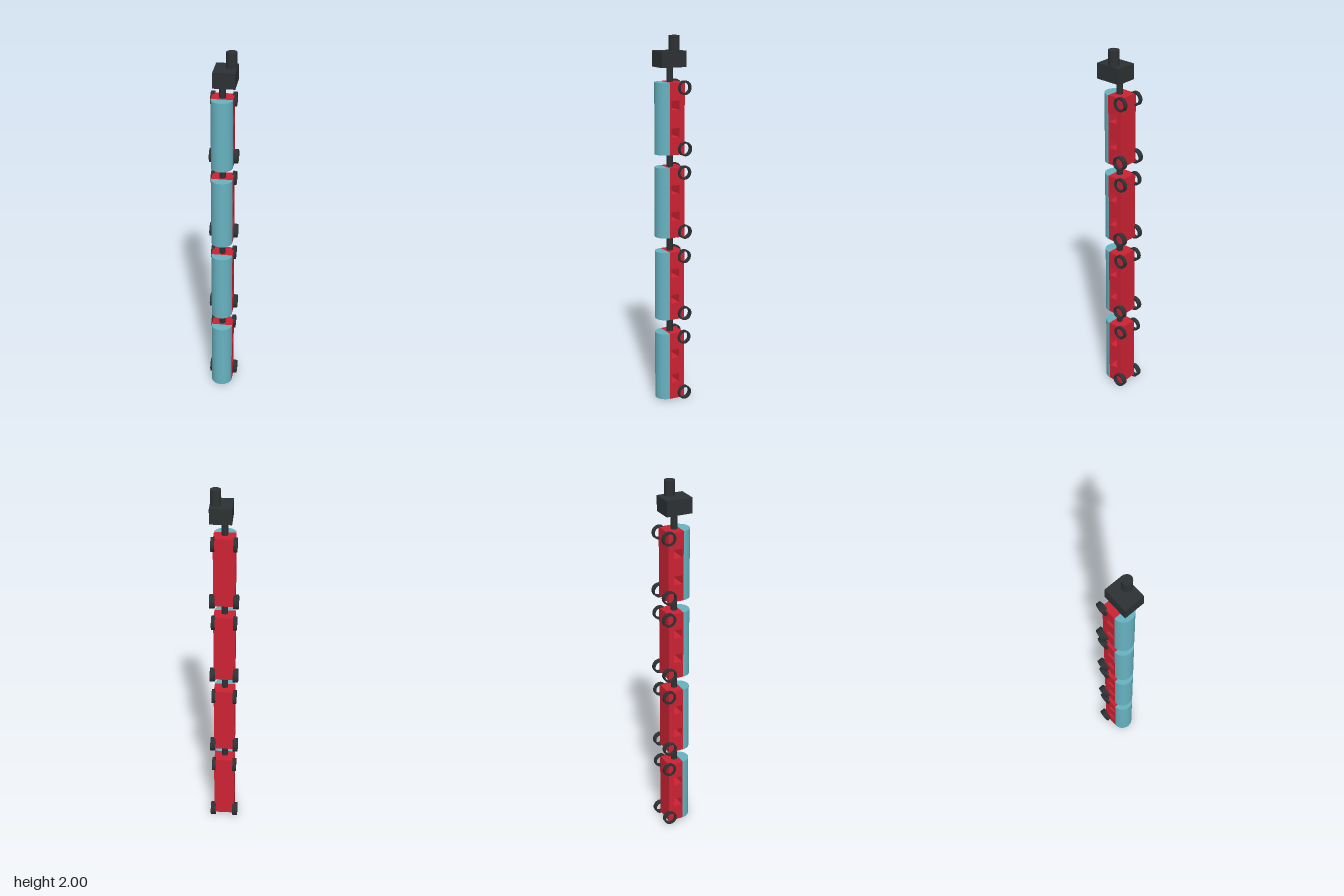
import * as THREE from 'three';

const red = new THREE.MeshStandardMaterial({ color: 0xcc2233 });
const blue = new THREE.MeshStandardMaterial({ color: 0x66b2c0 });
const dark = new THREE.MeshStandardMaterial({ color: 0x2d3133 });

const HALF = 0.057;   // half width of a wagon
const LENGTH = 0.38;  // wagon length, along y
const BACK = -0.055;  // wagon floor in z
const EAVES = 0.031;  // where the roof starts in z

function add(parent, name, geometry, material, x = 0, y = 0, z = 0) {
  const mesh = new THREE.Mesh(geometry, material);
  mesh.name = name;
  mesh.position.set(x, y, z);
  parent.add(mesh);
  return mesh;
}

// Body side outline with two square windows, extruded across the width
function bodyGeometry() {
  const rect = (path, x0, x1, y0, y1) =>
    path.moveTo(x0, y0).lineTo(x1, y0).lineTo(x1, y1).lineTo(x0, y1).closePath();
  const shape = new THREE.Shape();
  rect(shape, -EAVES, -BACK, 0, LENGTH);
  for (const mid of [LENGTH / 2 - 0.072, LENGTH / 2 + 0.072]) {
    const hole = new THREE.Path();
    rect(hole, -0.024, 0.024, mid - 0.024, mid + 0.024);
    shape.holes.push(hole);
  }
  const geometry = new THREE.ExtrudeGeometry(shape, { depth: 2 * HALF, bevelEnabled: false });
  return geometry.translate(0, 0, -HALF).rotateY(Math.PI / 2);
}

// Half-round roof, closed by its end caps
function roofGeometry() {
  return new THREE.CylinderGeometry(HALF, HALF, LENGTH, 32, 1, false, -Math.PI / 2, Math.PI)
    .translate(0, LENGTH / 2, EAVES);
}

// Open ring wheel with its axle along x, centred on the origin
function wheelGeometry(inner, width) {
  const R = 0.0375, h = width / 2;
  const shape = new THREE.Shape().absarc(0, 0, R, 0, Math.PI * 2, false);
  shape.holes.push(new THREE.Path().absarc(0, 0, inner, 0, Math.PI * 2, true));
  return new THREE.ExtrudeGeometry(shape, { depth: width, bevelEnabled: false, curveSegments: 20 })
    .translate(0, 0, -h).rotateY(Math.PI / 2);
}

export function createModel() {
  const model = new THREE.Group();
  model.name = 'train';

  const body = bodyGeometry();
  const roof = roofGeometry();
  const lowerWheel = wheelGeometry(0.03, 0.028);
  const upperWheel = wheelGeometry(0.027, 0.019);

  // Four wagons standing end on end
  const bases = [0.008, 0.469, 0.929, 1.378];
  bases.forEach((base, i) => {
    const wagon = new THREE.Group();
    wagon.name = `wagon${i + 1}`;
    wagon.position.y = base;
    model.add(wagon);
    add(wagon, 'body', body, red);
    add(wagon, 'roof', roof, blue);
    for (const side of [-1, 1]) {
      add(wagon, 'lowerWheel', lowerWheel, dark, side * 0.062, 0.0295, -0.053);
      add(wagon, 'upperWheel', upperWheel, dark, side * 0.0575, 0.351, -0.053);
    }

    // Coupling to the next wagon or the engine
    const next = bases[i + 1] ?? 1.84;
    const gap = next - base - LENGTH;
    add(wagon, 'coupling', new THREE.CylinderGeometry(0.017, 0.017, gap + 0.02, 24), dark,
      0, LENGTH + gap / 2, 0.004);
  });

  // Engine block and chimney
  const engine = new THREE.Group();
  engine.name = 'engine';
  model.add(engine);
  add(engine, 'engineBlock', new THREE.BoxGeometry(0.115, 0.083, 0.144), dark, 0.0175, 1.8785, 0.016);
  add(engine, 'chimney', new THREE.CylinderGeometry(0.028, 0.028, 0.09, 32), dark, 0.046, 1.955, 0.002);

  return model;
}
